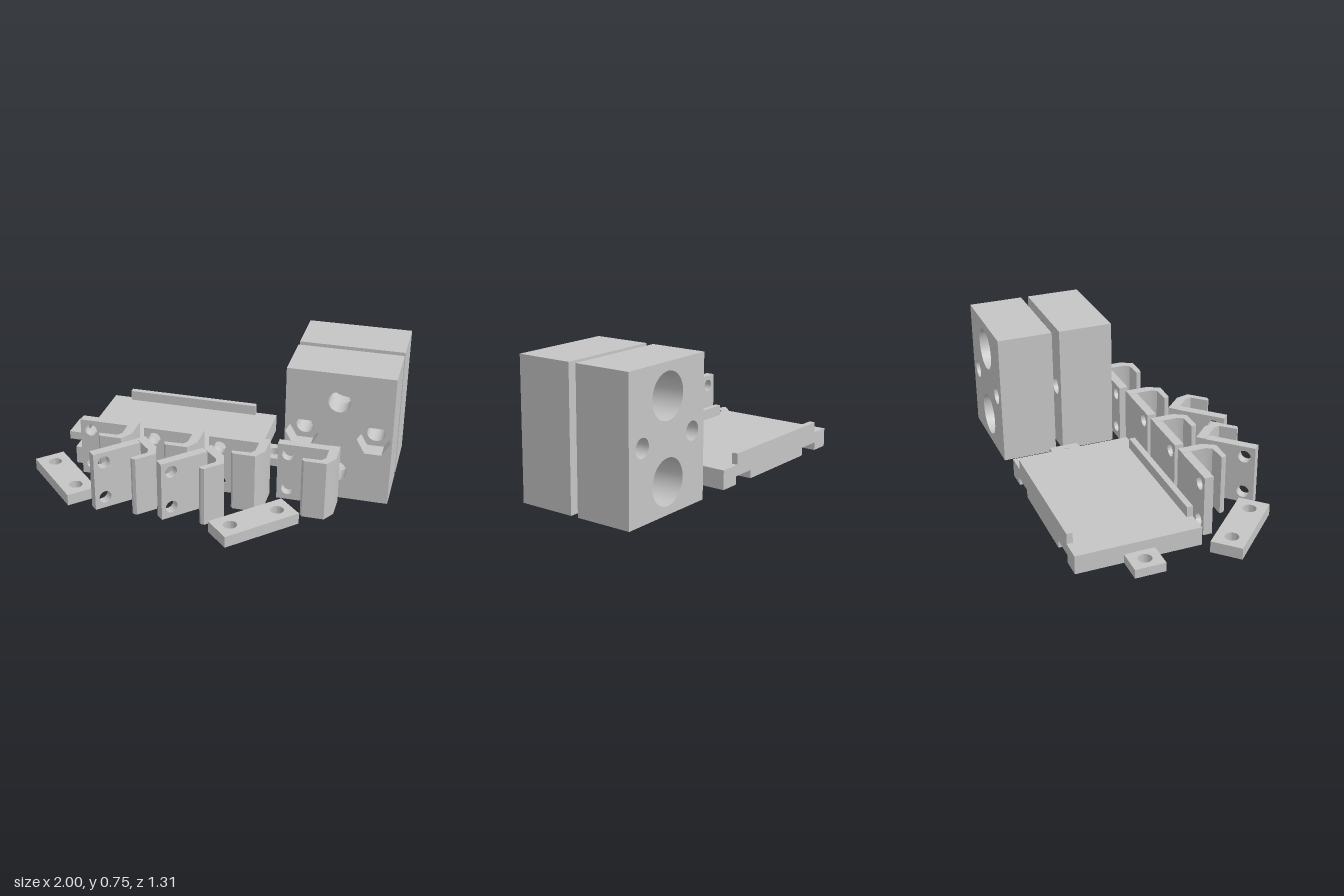
import * as THREE from 'three';
import { toCreasedNormals } from 'three/addons/utils/BufferGeometryUtils.js';

const grey = new THREE.MeshStandardMaterial({ color: 0xc5c5c5 });
grey.name = 'light grey';

// Closed polygon from [x, y] pairs
const poly = (pts) => new THREE.Shape(pts.map(([x, y]) => new THREE.Vector2(x, y)));
const rect = (x0, y0, x1, y1) => poly([[x0, y0], [x1, y0], [x1, y1], [x0, y1]]);

// Round hole, or regular polygon hole when sides is small
function hole(x, y, r, sides = 32) {
  const p = new THREE.Path();
  const pts = [];
  for (let i = 0; i < sides; i++) {
    const a = (i / sides) * Math.PI * 2;
    pts.push(new THREE.Vector2(x + r * Math.cos(a), y + r * Math.sin(a)));
  }
  return p.setFromPoints(pts);
}

// Extrusion with smooth bores and soft chamfers, other edges sharp
const extrude = (shape, depth, holes = []) => {
  shape.holes.push(...holes);
  return toCreasedNormals(new THREE.ExtrudeGeometry(shape, { depth, bevelEnabled: false }), 0.6);
};

// Plan outline in (x, z), raised along y
const raise = (pts, height, holes = []) =>
  extrude(poly(pts.map(([x, z]) => [x, -z])), height, holes).rotateX(-Math.PI / 2);

function add(parent, name, geometry, x = 0, y = 0, z = 0) {
  const mesh = new THREE.Mesh(geometry, grey);
  mesh.name = name;
  mesh.position.set(x, y, z);
  parent.add(mesh);
}

function box(parent, name, x0, x1, y0, y1, z0, z1) {
  add(parent, name, new THREE.BoxGeometry(x1 - x0, y1 - y0, z1 - z0),
    (x0 + x1) / 2, (y0 + y1) / 2, (z0 + z1) / 2);
}

// Block with nut pockets in front and wide bores at the back
function makeBlock(name, zBack) {
  const g = new THREE.Group();
  g.name = name;
  const bores = (r) => [hole(0.707, 0.585, r), hole(0.707, 0.165, r)];
  const bolts = (r, sides) => [hole(0.512, 0.375, r, sides), hole(0.902, 0.375, r, sides)];
  const layers = [
    ['boredLayer', 0, 0.2, [...bores(0.12), ...bolts(0.05)]],
    ['middleLayer', 0.2, 0.01, [...bores(0.06), ...bolts(0.05)]],
    ['nutPocketLayer', 0.21, 0.102, [...bores(0.06), ...bolts(0.092, 6)]],
  ];
  for (const [part, z, depth, holes] of layers) {
    add(g, part, extrude(rect(0.417, 0, 1, 0.75), depth, holes), 0, 0, z);
  }
  g.position.z = zBack;
  return g;
}

// Plate with two channels beneath, end rails and screw tabs
function makePlate() {
  const g = new THREE.Group();
  g.name = 'basePlate';
  const c = 0.045;
  const profile = poly([
    [-0.8, 0], [-0.69, 0], [-0.69, c], [-0.55, c], [-0.55, 0],
    [-0.02, 0], [-0.02, c], [0.12, c], [0.12, 0], [0.233, 0],
    [0.233, 0.105], [-0.8, 0.105],
  ]);
  add(g, 'plate', extrude(profile, 0.686), 0, 0, -0.655);
  box(g, 'backRail', -0.685, 0.108, 0.105, 0.165, -0.655, -0.622);
  box(g, 'frontRail', -0.685, 0.108, 0.105, 0.165, -0.003, 0.031);
  for (const [x0, x1, hx] of [[-0.945, -0.8, -0.87], [0.233, 0.373, 0.298]]) {
    add(g, 'screwTab', raise([[x0, -0.396], [x1, -0.396], [x1, -0.228], [x0, -0.228]], 0.05,
      [hole(hx, 0.312, 0.037)]));
  }
  return g;
}

// Flat bar with a screw hole at each end
function makeBar(name, x, z, angle) {
  const bar = new THREE.Mesh(raise(
    [[-0.228, -0.086], [0.228, -0.086], [0.228, 0.086], [-0.228, 0.086]], 0.065,
    [hole(-0.145, 0, 0.037), hole(0.145, 0, 0.037)]), grey);
  bar.name = name;
  bar.position.set(x, 0, z);
  bar.rotation.y = angle;
  return bar;
}

// Hooked clip with two screw holes in its flat arm
function makeClip(x, z, angle) {
  const g = new THREE.Group();
  g.name = 'clip';
  add(g, 'clipArm', extrude(rect(0, 0, 0.28, 0.34), 0.05,
    [hole(0.06, 0.28, 0.035), hole(0.06, 0.065, 0.035)]));
  add(g, 'clipHook', raise([
    [0.28, 0], [0.333, 0], [0.333, 0.135], [0.293, 0.203], [0.172, 0.203],
    [0.16, 0.188], [0.16, 0.172], [0.262, 0.168], [0.28, 0.14],
  ], 0.342));
  g.position.set(x, 0, z);
  g.rotation.y = angle;
  return g;
}

export function createModel() {
  const model = new THREE.Group();
  model.name = 'printedPartsSet';
  model.add(makeBlock('frontBlock', -0.3), makeBlock('backBlock', -0.655), makePlate());
  model.add(makeBar('rightBar', -0.777, 0.263, -Math.PI / 4));
  model.add(makeBar('leftBar', 0.35, 0.432, Math.PI / 4));
  const clips = [
    [-0.725, 0.074, 0], [-0.352, 0.074, 0], [0.022, 0.074, 0], [0.4, 0.054, 0],
    [-0.549, 0.453, Math.PI / 4], [-0.174, 0.453, Math.PI / 4],
  ];
  for (const [x, z, angle] of clips) model.add(makeClip(x, z, angle));
  return model;
}
